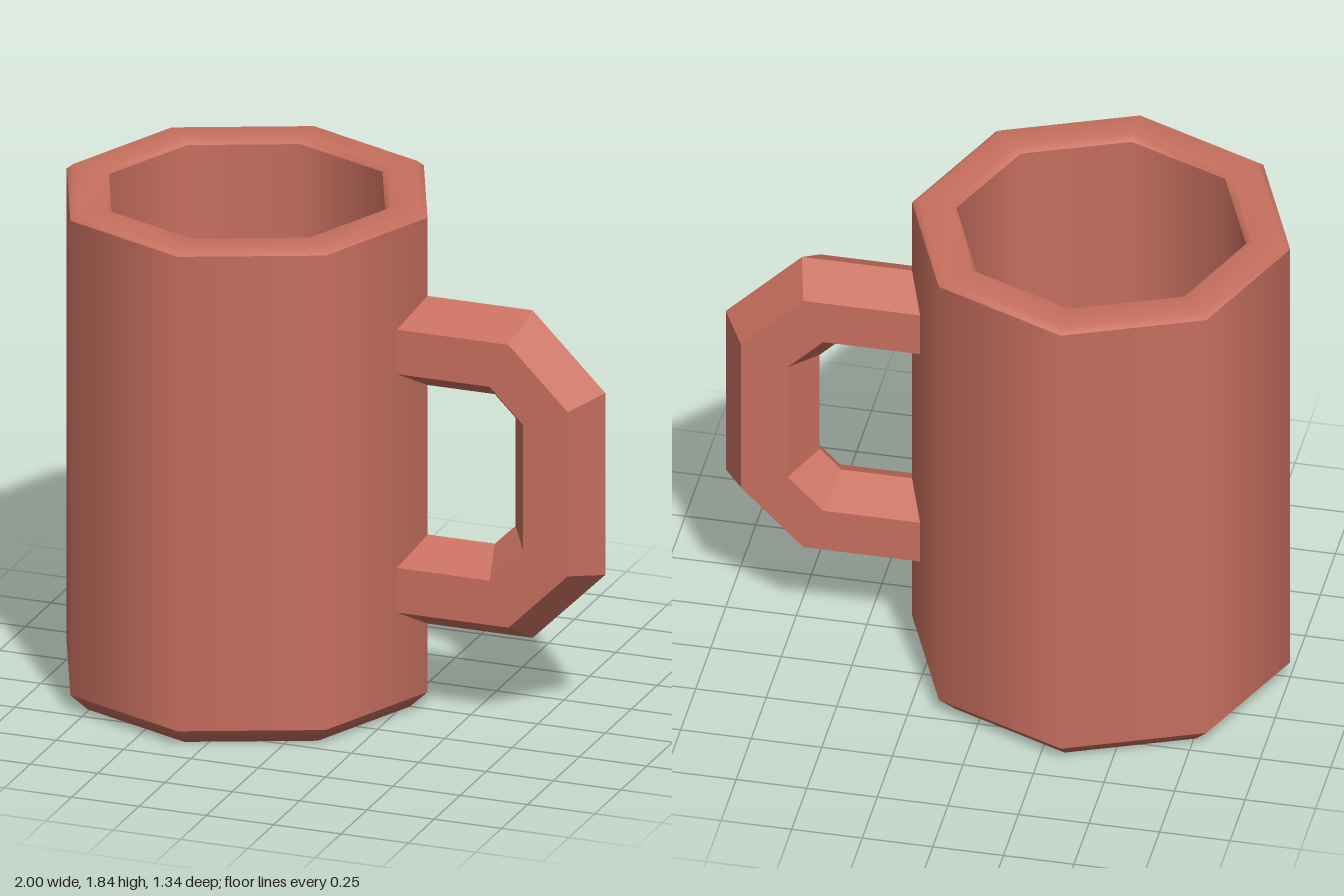
import * as THREE from 'three';

const CENTRE_X = -0.33;
const SIDES = 8;

// One smooth-shaded band of the octagonal body; separate bands keep sharp edges between them
function band(name, profile, material) {
  const points = profile.map(([r, y]) => new THREE.Vector2(r, y));
  const mesh = new THREE.Mesh(new THREE.LatheGeometry(points, SIDES), material);
  mesh.name = name;
  mesh.position.x = CENTRE_X;
  return mesh;
}

// Six-sided bar swept round a chamfered loop
function handleGeometry() {
  const midY = 0.923;
  // Upper half of each long edge, as [x, y]
  const outerRidge = [[0.22, 1.53], [0.73, 1.53], [1.0, 1.26]];
  const outerShoulder = [[0.22, 1.447], [0.695, 1.447], [0.915, 1.227]];
  const innerShoulder = [[0.22, 1.282], [0.625, 1.282], [0.75, 1.157]];
  const innerRidge = [[0.22, 1.2], [0.59, 1.2], [0.667, 1.123]];
  const edges = [
    [outerRidge, 0], [outerShoulder, 0.142], [innerShoulder, 0.142],
    [innerRidge, 0], [innerShoulder, -0.142], [outerShoulder, -0.142],
  ].map(([half, z]) => [
    ...half.map(([x, y]) => [x, y, z]),
    ...[...half].reverse().map(([x, y]) => [x, 2 * midY - y, z]),
  ]);

  const positions = [];
  for (let i = 0; i < 5; i++) {
    for (let j = 0; j < 6; j++) {
      const here = edges[j], next = edges[(j + 1) % 6];
      const a = here[i], b = next[i], c = next[i + 1], d = here[i + 1];
      positions.push(...a, ...b, ...d, ...b, ...c, ...d);
    }
  }
  const geometry = new THREE.BufferGeometry();
  geometry.setAttribute('position', new THREE.Float32BufferAttribute(positions, 3));
  geometry.computeVertexNormals();
  return geometry;
}

export function createModel() {
  const clay = new THREE.MeshStandardMaterial({ color: 0xc8705f });
  clay.name = 'clay red';

  const mug = new THREE.Group();
  mug.name = 'mug';

  // Body, from the underside up, over the rim and down inside
  mug.add(
    band('base', [[0, 0], [0.605, 0], [0.67, 0.062]], clay),
    band('outerWall', [[0.67, 0.062], [0.67, 1.82]], clay),
    band('rim', [[0.67, 1.82], [0.645, 1.84], [0.535, 1.84], [0.513, 1.82]], clay),
    band('innerWall', [[0.513, 1.82], [0.513, 0.12]], clay),
    band('innerFloor', [[0.513, 0.12], [0, 0.12]], clay),
  );

  const handle = new THREE.Mesh(handleGeometry(), clay);
  handle.name = 'handle';
  mug.add(handle);
  return mug;
}
